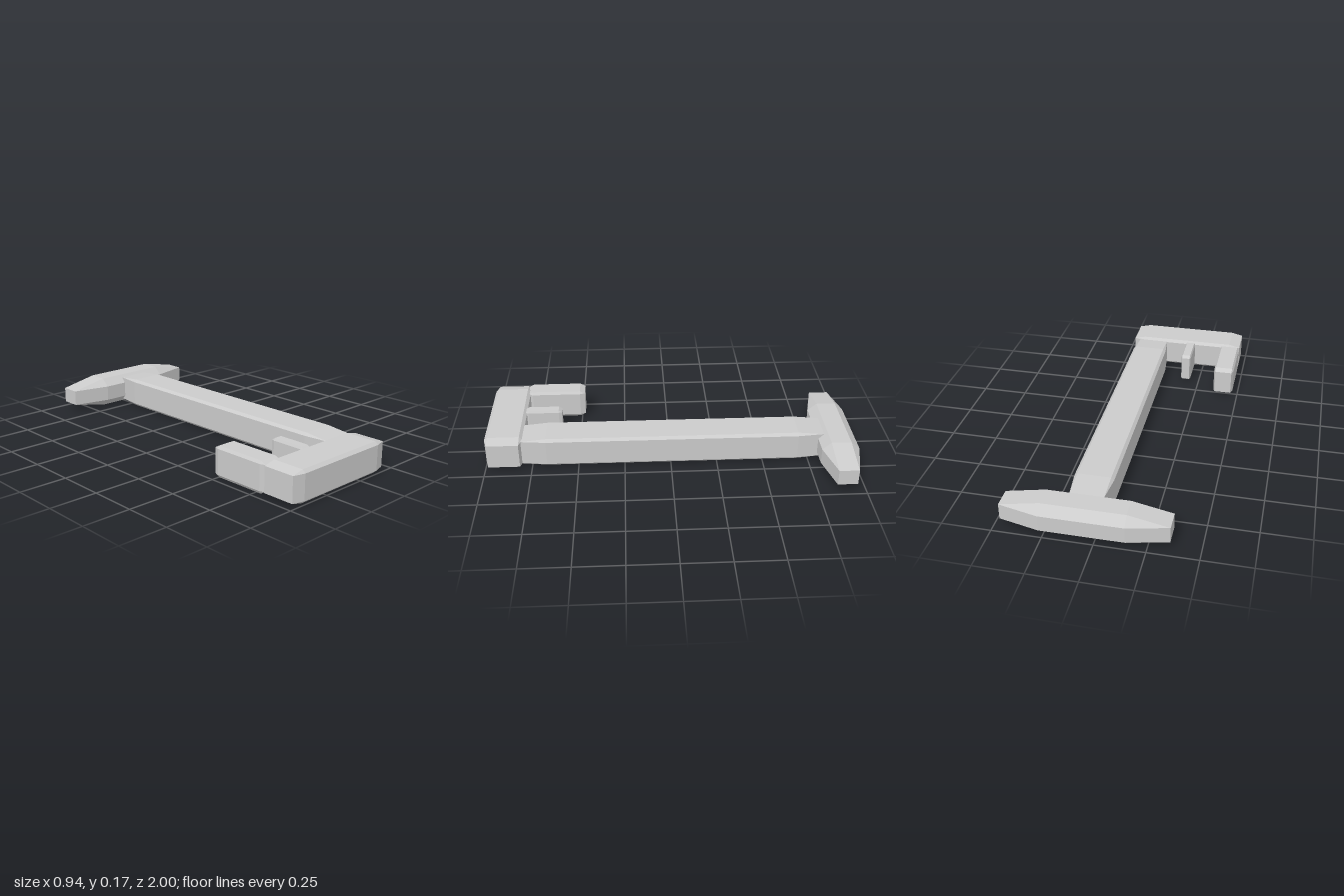
import * as THREE from 'three';
import { ConvexGeometry } from 'three/addons/geometries/ConvexGeometry.js';

const material = new THREE.MeshStandardMaterial({ color: 0xcccccc, flatShading: true });

// Faceted bar: an octagonal middle tapering to a small rectangle at each end.
// min/max are corners; end is the taper length along the axis,
// chamfer = [cut across the width, cut in height].
function bar(name, axis, min, max, end, chamfer) {
  const lo = new THREE.Vector3(...min), hi = new THREE.Vector3(...max);
  const half = hi.clone().sub(lo).multiplyScalar(0.5);
  const length = axis === 'x' ? half.x : half.z;
  const width = axis === 'x' ? half.z : half.x;
  const innerW = width - chamfer[0], innerH = half.y - chamfer[1];
  const points = [];
  for (const a of [-1, 1]) for (const b of [-1, 1]) for (const c of [-1, 1]) {
    const add = (l, w, h) => points.push(axis === 'x'
      ? new THREE.Vector3(a * l, c * h, b * w)
      : new THREE.Vector3(b * w, c * h, a * l));
    add(length, innerW, innerH);
    add(length - end, width, innerH);
    add(length - end, innerW, half.y);
  }
  const mesh = new THREE.Mesh(new ConvexGeometry(points), material);
  mesh.name = name;
  mesh.position.copy(lo).add(hi).multiplyScalar(0.5);
  return mesh;
}

export function createModel() {
  const key = new THREE.Group();
  key.name = 'key';
  key.add(
    // Cross handle at the back
    bar('handle', 'x', [-0.355, 0, -1], [0.47, 0.166, -0.8], 0.205, [0.047, 0.041]),
    // Long stem
    bar('shaft', 'z', [-0.03, 0.003, -0.83], [0.17, 0.166, 0.81], 0.14, [0.015, 0.014]),
    // Crosspiece at the front, carrying two teeth
    bar('bit', 'x', [-0.47, 0.003, 0.796], [0.19, 0.166, 1], 0.063, [0.017, 0.015]),
    bar('longTooth', 'z', [-0.47, 0.003, 0.48], [-0.355, 0.166, 0.81], 0.028, [0.01, 0.015]),
    bar('shortTooth', 'z', [-0.197, 0.003, 0.6], [-0.14, 0.166, 0.805], 0.018, [0.006, 0.012]),
  );
  return key;
}
